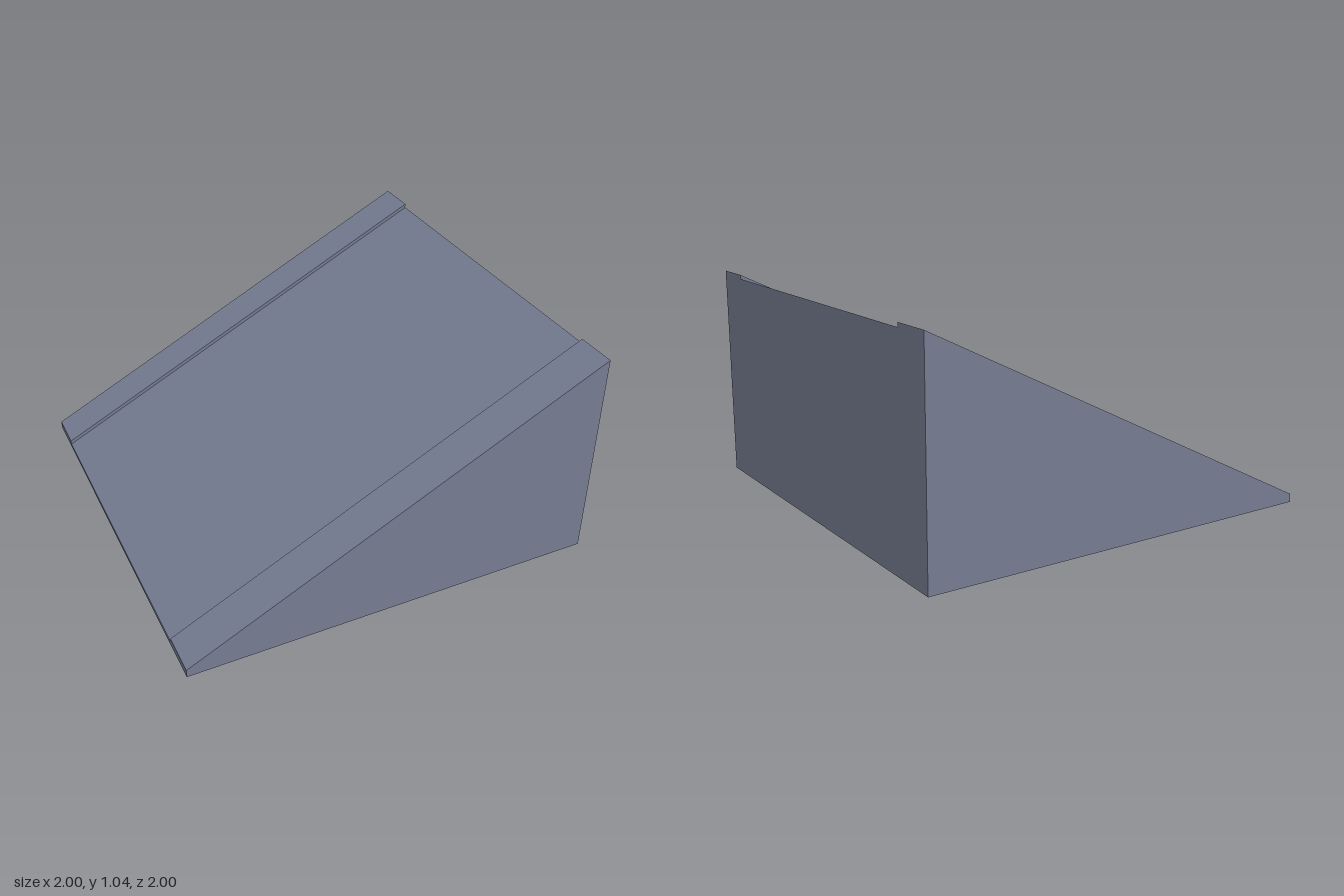
import * as THREE from 'three';

const LENGTH = 2, HALF_WIDTH = 1, RISE = 1;
const DECK = 0.02, CURB = 0.04, CURB_INNER = 0.8;

export function createModel() {
  const group = new THREE.Group();
  group.name = 'ramp';
  const slate = new THREE.MeshStandardMaterial({ color: 0x757c91 });
  slate.name = 'slate';

  // Cross-section at the low end: thin deck with a raised curb on each side
  const section = new THREE.Shape([
    [-HALF_WIDTH, 0], [HALF_WIDTH, 0], [HALF_WIDTH, CURB], [CURB_INNER, CURB],
    [CURB_INNER, DECK], [-CURB_INNER, DECK], [-CURB_INNER, CURB], [-HALF_WIDTH, CURB],
  ].map(([x, y]) => new THREE.Vector2(x, y)));

  // Sweep it along x
  const geometry = new THREE.ExtrudeGeometry(section, { depth: LENGTH, bevelEnabled: false });
  geometry.translate(0, 0, -LENGTH / 2);
  geometry.rotateY(Math.PI / 2);

  // Lift everything above the base in proportion to x to form the slope
  const p = geometry.attributes.position;
  for (let i = 0; i < p.count; i++) {
    if (p.getY(i) > 0.001) p.setY(i, p.getY(i) + RISE * (p.getX(i) / LENGTH + 0.5));
  }
  geometry.computeVertexNormals();

  const ramp = new THREE.Mesh(geometry, slate);
  ramp.name = 'curbedRamp';
  group.add(ramp);
  return group;
}
